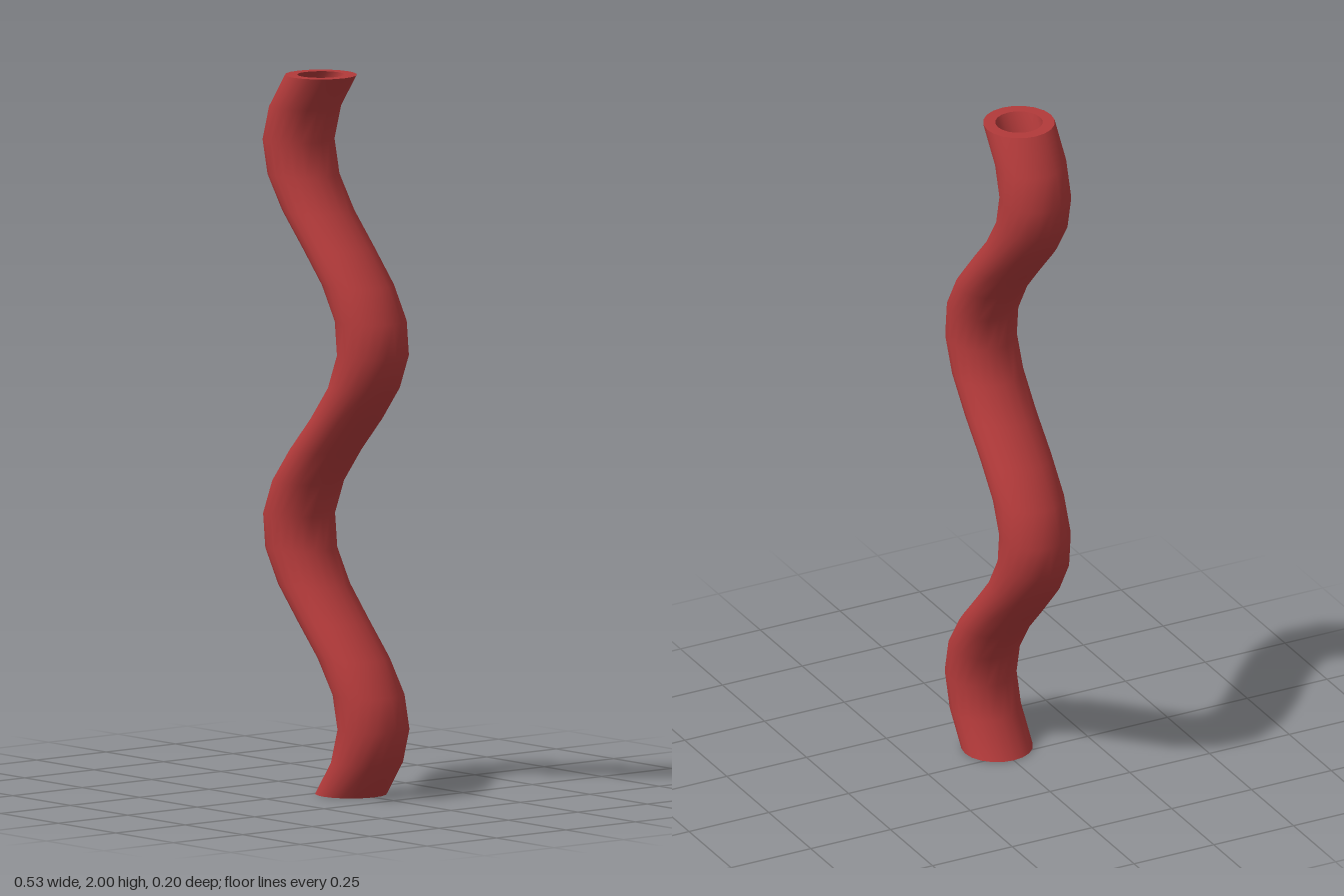
import * as THREE from 'three';
import { mergeVertices } from 'three/addons/utils/BufferGeometryUtils.js';

const HEIGHT = 2, OUTER = 0.1, INNER = 0.066, SIDES = 20, STEPS = 21;

// Sideways offset of the wavy centre line at height y
const sway = (y) => 0.163 * Math.sin(5.87 * (y - HEIGHT / 2));

// Straight open wall whose level rings are shifted along the wave
function wavyWall(radius, inward) {
  let geo = new THREE.CylinderGeometry(radius, radius, HEIGHT, SIDES, STEPS, true);
  geo.translate(0, HEIGHT / 2, 0);
  if (inward) geo.scale(-1, 1, 1); // mirroring turns the faces inwards
  geo.deleteAttribute('uv');
  geo.deleteAttribute('normal');
  geo = mergeVertices(geo, 1e-5);
  const p = geo.attributes.position;
  for (let i = 0; i < p.count; i++) p.setX(i, p.getX(i) + sway(p.getY(i)));
  geo.computeVertexNormals();
  return geo;
}

// Flat ring closing the wall thickness at one end
function endRing(y, up) {
  const geo = new THREE.RingGeometry(INNER, OUTER, SIDES, 1);
  geo.rotateX(up ? -Math.PI / 2 : Math.PI / 2);
  geo.translate(sway(y), y, 0);
  return geo;
}

export function createModel() {
  const group = new THREE.Group();
  group.name = 'wavyTube';
  const material = new THREE.MeshStandardMaterial({ color: 0xb23a3a });
  const add = (name, geo) => {
    const mesh = new THREE.Mesh(geo, material);
    mesh.name = name;
    group.add(mesh);
  };

  add('outerWall', wavyWall(OUTER, false));
  add('innerWall', wavyWall(INNER, true));
  add('topRim', endRing(HEIGHT, true));
  add('bottomRim', endRing(0, false));
  return group;
}
